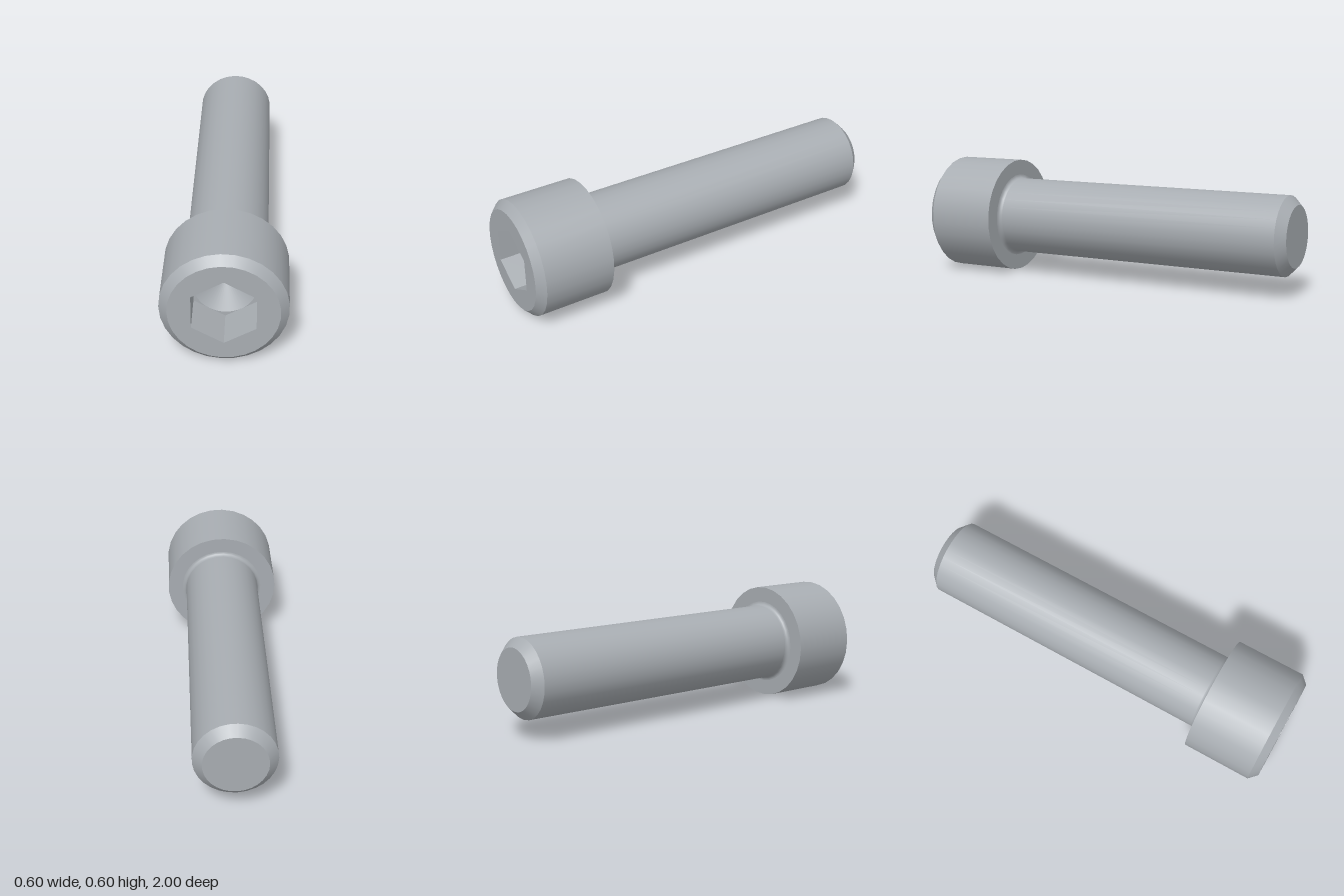
import * as THREE from 'three';

const SIDES = 29;
const steel = new THREE.MeshStandardMaterial({ color: 0xa8adb2 });
steel.name = 'steel';

// Axis runs along z; profile points are [radius, z], listed so the surface faces outward.
function turned(name, profile, sides = SIDES) {
  const pts = profile.map(([r, z]) => new THREE.Vector2(r, z));
  const geo = new THREE.LatheGeometry(pts, sides, -Math.PI / 2).rotateX(Math.PI / 2);
  return named(name, geo);
}

function named(name, geo) {
  const mesh = new THREE.Mesh(geo, steel);
  mesh.name = name;
  return mesh;
}

// Regular polygon in the xy plane
function polygon(radius, sides, start, Type = THREE.Shape) {
  const pts = [];
  for (let i = 0; i < sides; i++) {
    const a = start + (i / sides) * Math.PI * 2;
    pts.push(new THREE.Vector2(radius * Math.cos(a), radius * Math.sin(a)));
  }
  return new Type(pts);
}

function plate(name, outer, hole, z) {
  outer.holes.push(hole);
  return named(name, new THREE.ShapeGeometry(outer).translate(0, 0, z));
}

export function createModel() {
  const model = new THREE.Group();
  model.name = 'socketHeadScrew';

  const headR = 0.3, shankR = 0.2, fillet = 0.02;
  const faceR = 0.26, tipR = 0.155;
  const socketR = 0.15 / Math.cos(Math.PI / 6), floorZ = 0.8, apexZ = 0.713;

  // Shank with chamfered tip
  model.add(turned('tipFace', [[0, -1], [tipR, -1]]));
  model.add(turned('tipChamfer', [[tipR, -1], [shankR, -0.955]]));
  model.add(turned('shank', [[shankR, -0.955], [shankR, 0.6 - fillet]]));

  // Rounded neck under the head
  const neck = [];
  for (let i = 0; i <= 5; i++) {
    const a = Math.PI - (i / 5) * Math.PI / 2;
    neck.push([shankR + fillet + fillet * Math.cos(a), 0.6 - fillet + fillet * Math.sin(a)]);
  }
  model.add(turned('neckFillet', neck));

  // Head
  model.add(turned('headUnderside', [[shankR + fillet, 0.6], [headR, 0.6]]));
  model.add(turned('headSide', [[headR, 0.6], [headR, 0.96]]));
  model.add(turned('headChamfer', [[headR, 0.96], [faceR, 1]]));
  model.add(plate('headFace', polygon(faceR, SIDES, Math.PI),
    polygon(socketR, 6, Math.PI / 2, THREE.Path), 1));

  // Hexagonal socket: inward-facing walls, corner floor and drilled cone
  const walls = new THREE.CylinderGeometry(socketR, socketR, 1 - floorZ, 6, 1, true)
    .rotateX(Math.PI / 2).translate(0, 0, (1 + floorZ) / 2).scale(-1, 1, 1).toNonIndexed();
  walls.computeVertexNormals();
  model.add(named('socketWalls', walls));
  model.add(plate('socketFloor', polygon(socketR, 6, Math.PI / 2),
    polygon(0.1498, 48, Math.PI, THREE.Path), floorZ));
  model.add(turned('socketCone', [[0.1498, floorZ], [0, apexZ]], 48));

  model.position.y = headR;
  const root = new THREE.Group();
  root.name = 'screw';
  root.add(model);
  return root;
}
